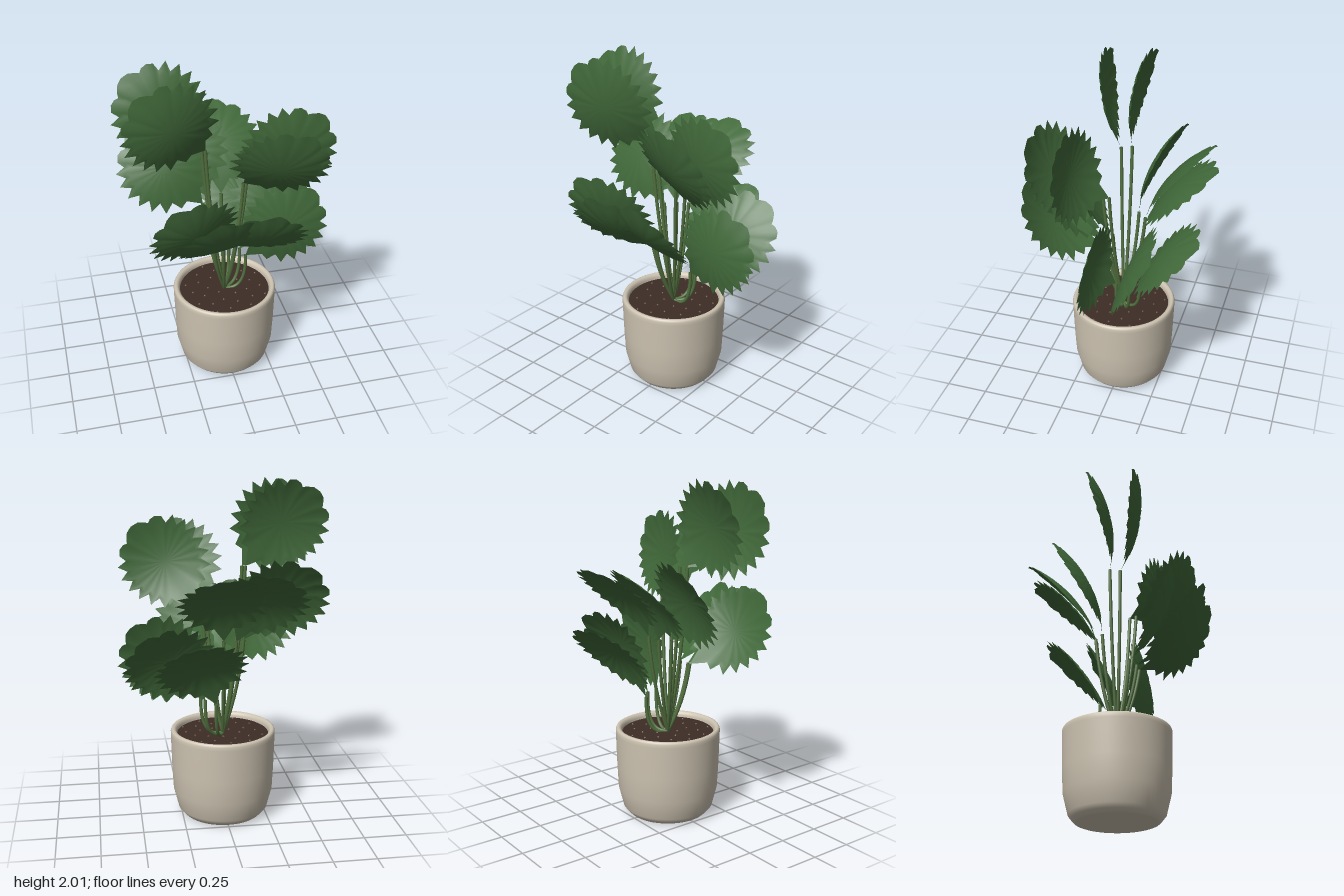
import * as THREE from 'three';

const V = (x, y, z) => new THREE.Vector3(x, y, z);
const mat = (color) => new THREE.MeshStandardMaterial({ color, side: THREE.DoubleSide });

// Half outline of a blade around its middle: [degrees from tip, radius].
// Three round lobes at the tip, then teeth that lean toward it.
const HALF = [
  [0, .288], [9, .283], [17, .262], [21, .25], [25, .268], [32, .28], [40, .275], [46, .235],
  [54, .288], [62, .235], [70, .288], [78, .23], [86, .285], [94, .225], [102, .28],
  [111, .222], [119, .28], [128, .222], [137, .285], [147, .225], [157, .275], [167, .25], [180, .33],
];
const OUTLINE = [...HALF, ...HALF.slice(1, -1).reverse().map(([d, r]) => [360 - d, r])];

// Serrated, domed blade: base at the origin, tip along +y, facing +z
function bladeGeometry() {
  const rings = 6, n = OUTLINE.length, mid = .33, length = .62;
  const pos = [], index = [];
  const add = (x, y, fold) => {
    const u = y / length;
    pos.push(x, y, .31 * u * (1 - u) - .5 * x * x + fold);
  };
  add(0, mid, 0);
  for (let i = 1; i <= rings; i++) {
    const s = i / rings;
    OUTLINE.forEach(([deg, r]) => {
      const a = THREE.MathUtils.degToRad(deg);
      const round = THREE.MathUtils.lerp(.25, r, s * s); // teeth fade toward the middle
      const fold = deg % 180 ? (r - .25) * .25 * s * s : 0;
      add(Math.sin(a) * round * s, mid + Math.cos(a) * round * s, fold);
    });
  }
  for (let k = 0; k < n; k++) {
    const k2 = (k + 1) % n;
    index.push(0, 1 + k2, 1 + k);
    for (let i = 0; i < rings - 1; i++) {
      const a = 1 + i * n, b = a + n;
      index.push(a + k, a + k2, b + k, a + k2, b + k2, b + k);
    }
  }
  const g = new THREE.BufferGeometry();
  g.setAttribute('position', new THREE.Float32BufferAttribute(pos, 3));
  g.setIndex(index);
  g.computeVertexNormals();
  return g;
}

// Tip of every leaf, going round the plant
const TIPS = [
  [.54, 1.15, .04], [.51, 1.72, .21], [.38, 1.71, .42], [.17, 1.33, .54], [-.15, 1.33, .55],
  [-.38, 1.34, .4], [-.53, 1.92, .22], [-.55, 1.93, -.05], [-.5, 1.51, -.26], [-.27, 1.51, -.48],
  [.05, 1.52, -.55], [.24, 1.14, -.5], [.49, 1.15, -.29],
];

export function createModel() {
  const model = new THREE.Group();
  const add = (name, geometry, material, parent = model) => {
    const m = new THREE.Mesh(geometry, material);
    m.name = name;
    parent.add(m);
    return m;
  };

  // Pot with a rounded rim and a bevelled foot
  const profile = [
    [0, 0], [.222, 0], [.235, .005], [.25, .02], [.27, .045], [.299, .16],
    [.306, .3], [.312, .5], [.312, .52], [.307, .531], [.299, .535], [.288, .533],
    [.28, .525], [.274, .51], [.272, .46],
  ].map(([r, y]) => new THREE.Vector2(r, y));
  add('pot', new THREE.LatheGeometry(profile, 64), mat(0xcdc3b1));

  // Soil and scattered grit
  const soil = add('soil', new THREE.CylinderGeometry(.274, .274, .03, 48), mat(0x3d2c25));
  soil.position.y = .485;
  const grit = new THREE.Group();
  grit.name = 'grit';
  model.add(grit);
  const gritShape = new THREE.IcosahedronGeometry(.007, 0), gritMat = mat(0x6b5546);
  for (let i = 0; i < 30; i++) {
    const r = .26 * Math.sqrt((i + .5) / 30), a = i * 2.4;
    add('grain', gritShape, gritMat, grit).position.set(r * Math.cos(a), .502, r * Math.sin(a));
  }

  // Leaves: a curved stalk with a blade turned toward the front
  const blade = bladeGeometry(), bladeMat = mat(0x41693a), stalkMat = mat(0x52703f);
  TIPS.forEach(([x, y, z]) => {
    const leaf = new THREE.Group();
    leaf.name = 'leaf';
    model.add(leaf);
    const out = V(x, 0, z).normalize();
    const tip = V(x, y, z);
    const base = out.clone().multiplyScalar(.13).setY(y - .42);

    const low = y < 1.25; // low stalks creep along the soil before rising
    const bend = out.clone().multiplyScalar(low ? .14 : .1);
    bend.y = low ? .47 : .5 + (base.y - .5) * .45;
    const curve = new THREE.QuadraticBezierCurve3(V(0, .5, 0), bend, base);
    add('stalk', new THREE.TubeGeometry(curve, 16, .01, 8), stalkMat, leaf);

    const axis = tip.clone().sub(base);
    const size = axis.length() / .62;
    axis.normalize();
    const face = V(0, .16 - .65 * z, 1); // rear blades look up, front ones down
    face.addScaledVector(axis, -axis.dot(face)).normalize();
    const side = axis.clone().cross(face);
    const m = add('blade', blade, bladeMat, leaf);
    m.quaternion.setFromRotationMatrix(new THREE.Matrix4().makeBasis(side, axis, face));
    m.position.copy(base);
    m.scale.setScalar(size);
  });

  return model;
}
